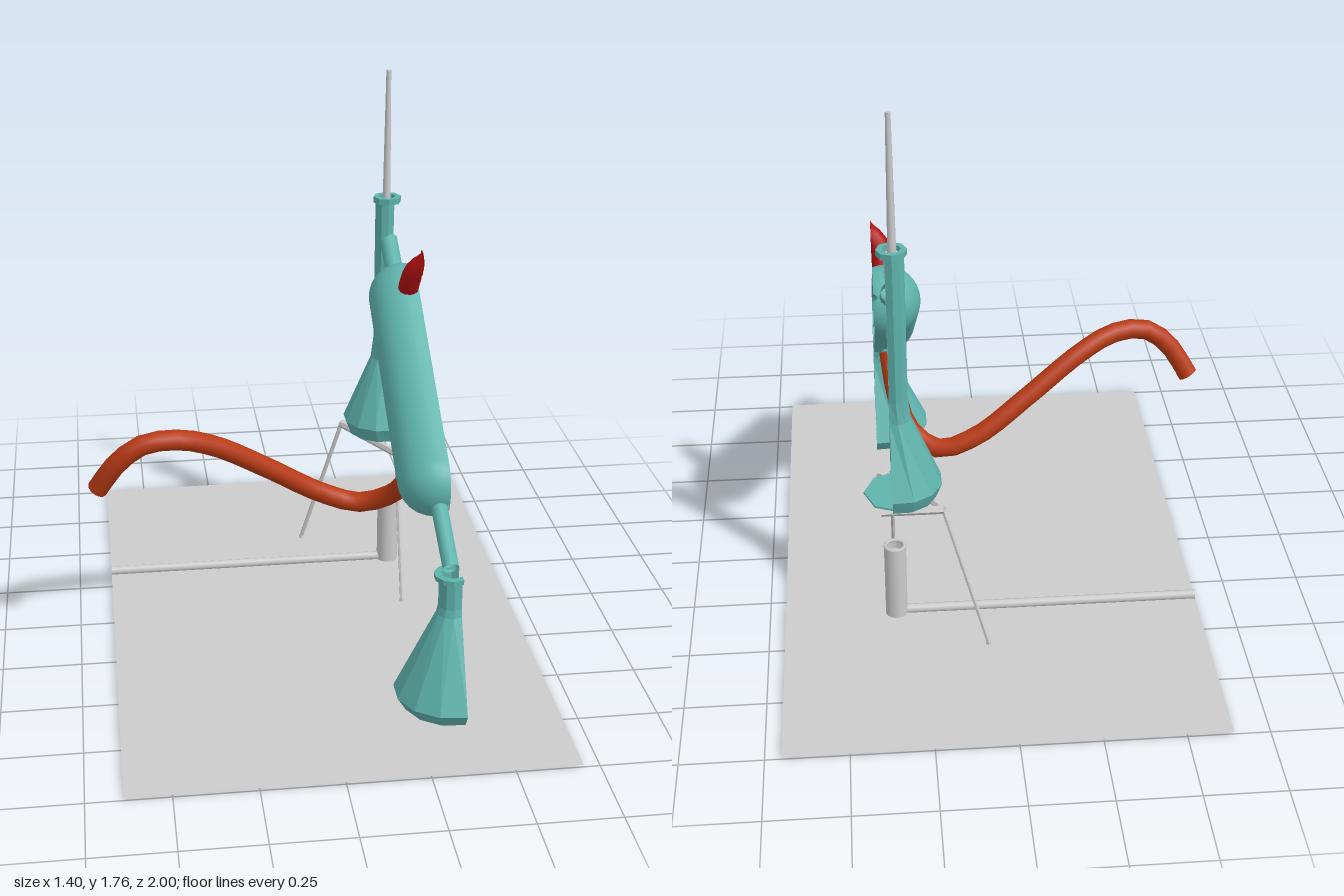
import * as THREE from 'three';

const V = (x, y, z) => new THREE.Vector3(x, y, z);
const CUT = 0.38; // section plane that opens the glassware

const mat = (color, flat = false) => new THREE.MeshStandardMaterial({ color, flatShading: flat, side: THREE.DoubleSide });
const TEAL = 0x5fb3ad, ORANGE = 0xb83a14, RED = 0xb01010, GREY = 0xcccccc;

function add(parent, name, geometry, material) {
  const m = new THREE.Mesh(geometry, material);
  m.name = name;
  parent.add(m);
  return m;
}

// Straight rod between two points
function rod(parent, name, a, b, r0, r1, sides, material, open = false) {
  const d = b.clone().sub(a);
  const m = add(parent, name, new THREE.CylinderGeometry(r1, r0, d.length(), sides, 1, open), material);
  m.position.copy(a).addScaledVector(d, 0.5);
  m.quaternion.setFromUnitVectors(V(0, 1, 0), d.normalize());
  return m;
}

// Hollow turned vessel opened by a plane at local x = c, with grey section faces.
// The profile [r, y] runs up the outside and back down the inside.
function cutVessel(name, profile, c, sides, flat) {
  const group = new THREE.Group();
  group.name = name;
  const pts = profile.map(([r, y]) => new THREE.Vector2(r, y));
  const geo = new THREE.LatheGeometry(pts, sides);
  const pos = geo.attributes.position;
  for (let i = 0; i < pos.count; i++) {
    const r = pts[i % pts.length].x;
    const t = Math.floor(i / pts.length) / sides;
    const start = r > c ? Math.acos(c / r) : 0;
    const a = start + (2 * Math.PI - 2 * start) * t;
    pos.setX(i, r * Math.cos(a));
    pos.setZ(i, -r * Math.sin(a));
  }
  geo.computeVertexNormals();
  add(group, name + 'Glass', geo, mat(TEAL, flat));

  for (const side of [-1, 1]) {
    const outline = pts.map(p => new THREE.Vector2(side * Math.sqrt(Math.max(0, p.x * p.x - c * c)), p.y));
    const face = new THREE.ShapeGeometry(new THREE.Shape(outline));
    face.rotateY(-Math.PI / 2).translate(c, 0, 0);
    add(group, name + 'SectionFace', face, mat(GREY));
  }
  return group;
}

export function createModel() {
  const model = new THREE.Group();
  model.name = 'distillationApparatus';
  const grey = mat(GREY), greyFlat = mat(GREY, true), teal = mat(TEAL), tealFlat = mat(TEAL, true);

  // Table surface
  const table = add(model, 'tableSurface', new THREE.PlaneGeometry(1.34, 2), grey);
  table.rotation.x = -Math.PI / 2;
  table.position.set(0.03, 0.01, 0);

  // Burner and its gas pipe
  rod(model, 'burner', V(0.34, 0.005, -0.335), V(0.34, 0.27, -0.335), 0.036, 0.036, 14, grey, true);
  rod(model, 'burnerCore', V(0.34, 0.005, -0.335), V(0.34, 0.24, -0.335), 0.03, 0.03, 14, grey);
  const lip = add(model, 'burnerLip', new THREE.TorusGeometry(0.031, 0.006, 6, 14), grey);
  lip.rotation.x = Math.PI / 2;
  lip.position.set(0.34, 0.27, -0.335);
  rod(model, 'gasPipe', V(-0.64, 0.02, -0.335), V(0.34, 0.02, -0.335), 0.015, 0.015, 8, grey);

  // Tripod: triangular top, sectioned on the open side, and two legs
  const back = V(0.19, 0.485, -0.46), front = V(0.34, 0.485, -0.19);
  const top = [[back, V(CUT, 0.485, -0.46)], [back, front], [front, V(CUT, 0.485, -0.26)]];
  for (const [a, b] of top) rod(model, 'tripodBar', a, b, 0.013, 0.013, 6, greyFlat);
  const legs = [[back, V(0.055, 0.015, -0.525)], [front, V(0.34, 0.015, -0.02)]];
  for (const [a, b] of legs) {
    rod(model, 'tripodLeg', a, b, 0.007, 0.007, 6, greyFlat);
    const foot = add(model, 'tripodFoot', new THREE.CylinderGeometry(0.007, 0.011, 0.018, 6), greyFlat);
    foot.position.copy(b).setY(0.012);
  }

  // Boiling flask with a whole floor disc and collar
  const boiler = cutVessel('boilingFlask', [
    [0, 0.497], [0.115, 0.497], [0.134, 0.545], [0.042, 0.77], [0.034, 0.84], [0.034, 1.32],
    [0.028, 1.32], [0.028, 0.84], [0.035, 0.765], [0.118, 0.545], [0.104, 0.512], [0, 0.512],
  ], 0.025, 7, true);
  boiler.position.set(0.32, 0, -0.375);
  model.add(boiler);
  const floor = add(model, 'flaskFloor', new THREE.CylinderGeometry(0.112, 0.112, 0.006, 8), tealFlat);
  floor.position.set(0.32, 0.503, -0.375);
  const collar = add(model, 'flaskCollar', new THREE.LatheGeometry([
    [0.028, 1.322], [0.046, 1.322], [0.046, 1.342], [0.028, 1.342], [0.028, 1.322],
  ].map(p => new THREE.Vector2(...p)), 8), tealFlat);
  collar.position.set(0.325, 0, -0.375);

  // Stopper and thermometer
  rod(model, 'stopper', V(0.323, 1.25, -0.375), V(0.323, 1.325, -0.375), 0.026, 0.027, 10, grey);
  rod(model, 'thermometerBulb', V(0.323, 1.2, -0.375), V(0.323, 1.26, -0.375), 0.01, 0.013, 8, grey);
  rod(model, 'thermometer', V(0.323, 1.25, -0.375), V(0.323, 1.765, -0.375), 0.014, 0.008, 8, grey);

  // Condenser jacket: sectioned capsule lying on a slope
  const half = 0.35, steps = 8, wall = 0.012, R = 0.11;
  const arc = r => {
    const p = [];
    for (const end of [-1, 1]) for (let i = 0; i <= steps; i++) {
      const a = (Math.PI / 2) * (end < 0 ? i / steps - 1 : i / steps);
      p.push([Math.max(0, r * Math.cos(a)), end * half + r * Math.sin(a)]);
    }
    return p;
  };
  const jacket = cutVessel('condenserJacket', [...arc(R), ...arc(R - wall).reverse()], CUT - 0.345, 20, false);
  jacket.position.set(0.345, 0.87, 0.13);
  jacket.rotation.x = -0.988;
  model.add(jacket);

  // Vapour tube through the jacket
  rod(model, 'condenserTube', V(0.352, 0.515, 0.69), V(0.33, 1.195, -0.365), 0.025, 0.03, 12, teal, true);

  // Receiving flask
  const receiver = cutVessel('receivingFlask', [
    [0, 0.068], [0.142, 0.068], [0.168, 0.11], [0.045, 0.375], [0.04, 0.4], [0.04, 0.488], [0.055, 0.49], [0.055, 0.505],
    [0.034, 0.505], [0.034, 0.4], [0.036, 0.365], [0.136, 0.12], [0.125, 0.09], [0, 0.09],
  ], CUT - 0.355, 7, true);
  receiver.position.set(0.355, 0, 0.7);
  model.add(receiver);

  // Water inlet: nozzle and long flexible hose
  rod(model, 'inletNozzle', V(0.335, 0.72, 0.27), V(0.33, 0.61, 0.205), 0.024, 0.024, 10, teal);
  const hosePath = new THREE.CatmullRomCurve3([
    V(0.33, 0.66, 0.235), V(0.315, 0.56, 0.165), V(0.275, 0.46, 0.07), V(0.18, 0.41, 0.012), V(0.05, 0.455, 0.01),
    V(-0.12, 0.57, 0.055), V(-0.3, 0.69, 0.12), V(-0.42, 0.738, 0.165), V(-0.53, 0.735, 0.185),
    V(-0.61, 0.675, 0.18), V(-0.675, 0.575, 0.15),
  ]);
  add(model, 'inletHose', new THREE.TubeGeometry(hosePath, 26, 0.033, 10), mat(ORANGE));
  const hoseEnd = hosePath.getPoint(1), dir = hosePath.getTangent(1);
  rod(model, 'inletHoseEnd', hoseEnd.clone().addScaledVector(dir, -0.02), hoseEnd, 0.032, 0.032, 10, mat(ORANGE));

  // Water outlet: nozzle and short hose trimmed at the section plane
  rod(model, 'outletNozzle', V(0.345, 1.045, -0.105), V(0.345, 1.14, -0.065), 0.022, 0.022, 10, grey);
  const outPath = new THREE.CatmullRomCurve3([
    V(0.345, 1.095, -0.085), V(0.348, 1.15, -0.055), V(0.362, 1.2, -0.032), V(0.41, 1.24, -0.015),
  ]);
  for (const r of [0.033, 0.023]) {
    const geo = new THREE.TubeGeometry(outPath, 8, r, 12);
    const pos = geo.attributes.position;
    for (let i = 0; i < pos.count; i++) pos.setX(i, Math.min(CUT, pos.getX(i)));
    geo.computeVertexNormals();
    add(model, r > 0.03 ? 'outletHose' : 'outletHoseBore', geo, mat(RED));
  }
  return model;
}
